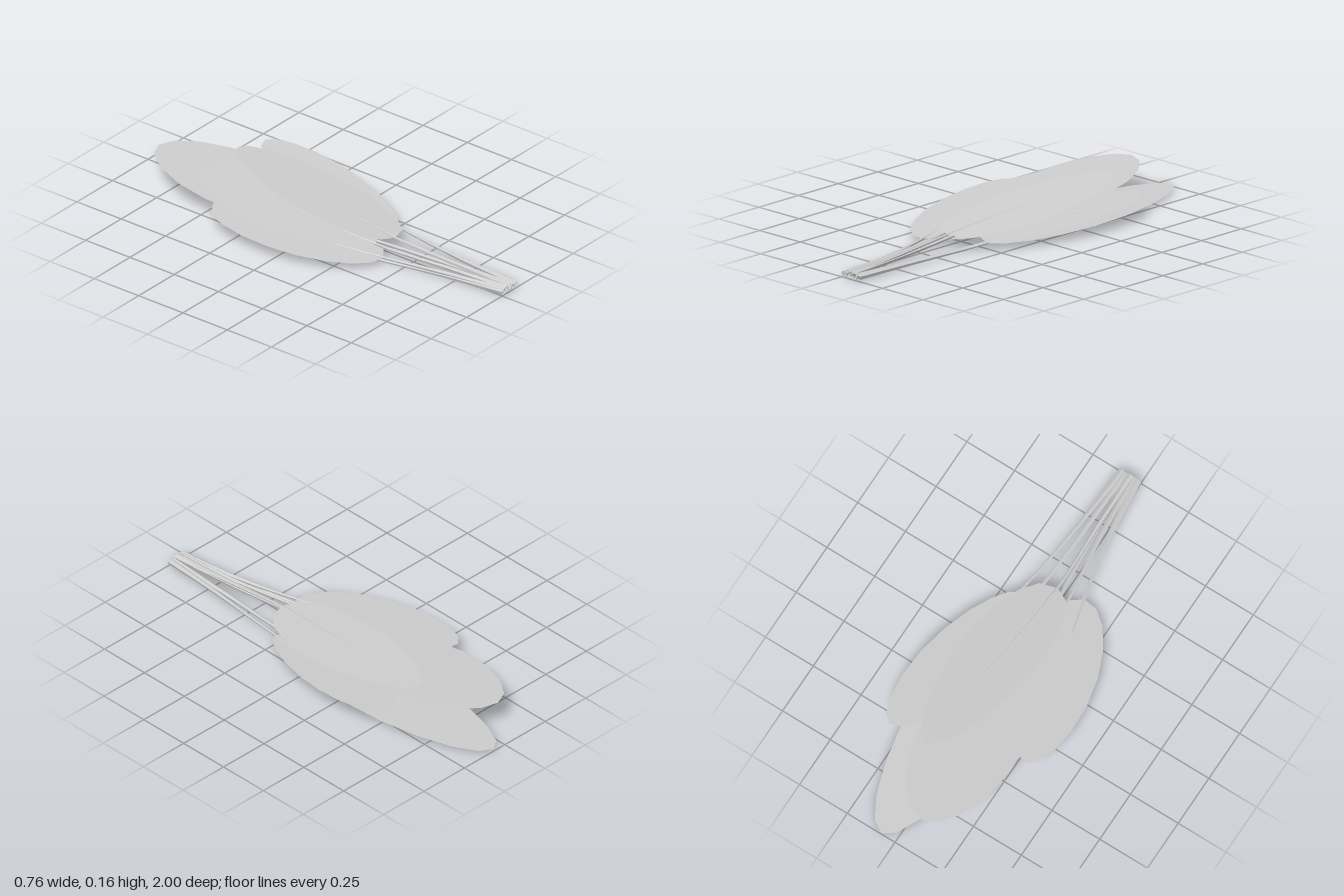
import * as THREE from 'three';

const material = new THREE.MeshStandardMaterial({ color: 0xcccccc, side: THREE.DoubleSide, flatShading: true });

// Each leaf: base and tip of its midrib, half widths on both sides,
// peak (above 1 = blunt tip, below 1 = pointed tip), roll, and where its stem starts.
const LEAVES = [
  { name: 'topLeaf', base: [0.03, 0.065, 0.37], tip: [0.11, 0.163, -0.58], left: 0.165, right: 0.18, peak: 0.8, roll: -0.07, root: [0.05, 0.028] },
  { name: 'upperMiddleLeaf', base: [-0.04, 0.045, 0.32], tip: [-0.08, 0.135, -0.6], left: 0.22, right: 0.17, peak: 1.25, roll: 0.03, root: [0.035, 0.025] },
  { name: 'rightSideLeaf', base: [-0.09, 0.028, 0.4], tip: [-0.3, 0.089, -0.4], left: 0.175, right: 0.17, peak: 0.9, roll: 0.02, root: [0.02, 0.022] },
  { name: 'leftSideLeaf', base: [0.17, 0.032, 0.27], tip: [0.3, 0.117, -0.58], left: 0.15, right: 0.13, peak: 1.1, roll: 0.02, root: [0.098, 0.02] },
  { name: 'backLeaf', base: [-0.02, 0.045, 0.12], tip: [-0.065, 0.14, -0.89], left: 0.22, right: 0.23, peak: 1.2, roll: 0, root: [0.06, 0.025] },
  { name: 'lowerLongLeaf', base: [0.11, 0.01, 0.2], tip: [0.07, 0.014, -1], left: 0.19, right: 0.195, peak: 0.9, roll: 0.01, root: [0.08, 0.018] },
  { name: 'lowerShortLeaf', base: [-0.1, 0.008, 0.3], tip: [-0.13, 0.014, -0.52], left: 0.18, right: 0.18, peak: 0.95, roll: -0.015, root: [0.012, 0.017] },
];

// Thin blade made from cross rows of left edge, midrib and right edge
function blade({ base, tip, left, right, peak, roll }) {
  const a = new THREE.Vector3(...base), b = new THREE.Vector3(...tip);
  const along = b.clone().sub(a).setY(0).normalize();
  const side = new THREE.Vector3(-along.z, roll, along.x);
  const rows = 9, positions = [], index = [];
  for (let i = 0; i <= rows; i++) {
    const t = (1 - Math.cos(Math.PI * i / rows)) / 2;
    const w = Math.sqrt(Math.max(0, Math.sin(Math.PI * t ** peak)));
    const mid = a.clone().lerp(b, t);
    for (const offset of [-left * w, 0, right * w]) {
      positions.push(...mid.clone().addScaledVector(side, offset).toArray());
    }
    if (i === rows) break;
    for (let j = 0; j < 2; j++) {
      const p = i * 3 + j;
      index.push(p, p + 1, p + 3, p + 1, p + 4, p + 3);
    }
  }
  const geometry = new THREE.BufferGeometry();
  geometry.setAttribute('position', new THREE.Float32BufferAttribute(positions, 3));
  geometry.setIndex(index);
  geometry.computeVertexNormals();
  return geometry;
}

// Stem that narrows from its cut end into the midrib of the blade
function stem({ base, tip, root }) {
  const a = new THREE.Vector3(...base), b = new THREE.Vector3(...tip);
  const start = new THREE.Vector3(root[0], root[1], 1);
  const middle = start.clone().lerp(a, 0.45);
  middle.x += (start.x - a.x) * 0.12;
  middle.y -= 0.003;
  const curve = new THREE.CatmullRomCurve3([start, middle, a, a.clone().lerp(b, 0.58)]);
  const segments = 8, sides = 5;
  const geometry = new THREE.TubeGeometry(curve, segments, 0.015, sides, false);
  const pos = geometry.attributes.position, v = new THREE.Vector3();
  for (let i = 0; i <= segments; i++) {
    const centre = curve.getPointAt(i / segments);
    const scale = 1 - 0.95 * (i / segments) ** 0.8;
    for (let j = 0; j <= sides; j++) {
      const k = i * (sides + 1) + j;
      v.fromBufferAttribute(pos, k).sub(centre).multiplyScalar(scale).add(centre);
      pos.setXYZ(k, v.x, Math.max(0, v.y), Math.min(1, v.z));
    }
  }
  geometry.computeVertexNormals();
  return geometry;
}

export function createModel() {
  const model = new THREE.Group();
  model.name = 'leafBunch';
  for (const leaf of LEAVES) {
    const group = new THREE.Group();
    group.name = leaf.name;
    for (const [name, geometry] of [['blade', blade(leaf)], ['stem', stem(leaf)]]) {
      const mesh = new THREE.Mesh(geometry, material);
      mesh.name = name;
      group.add(mesh);
    }
    model.add(group);
  }
  return model;
}
